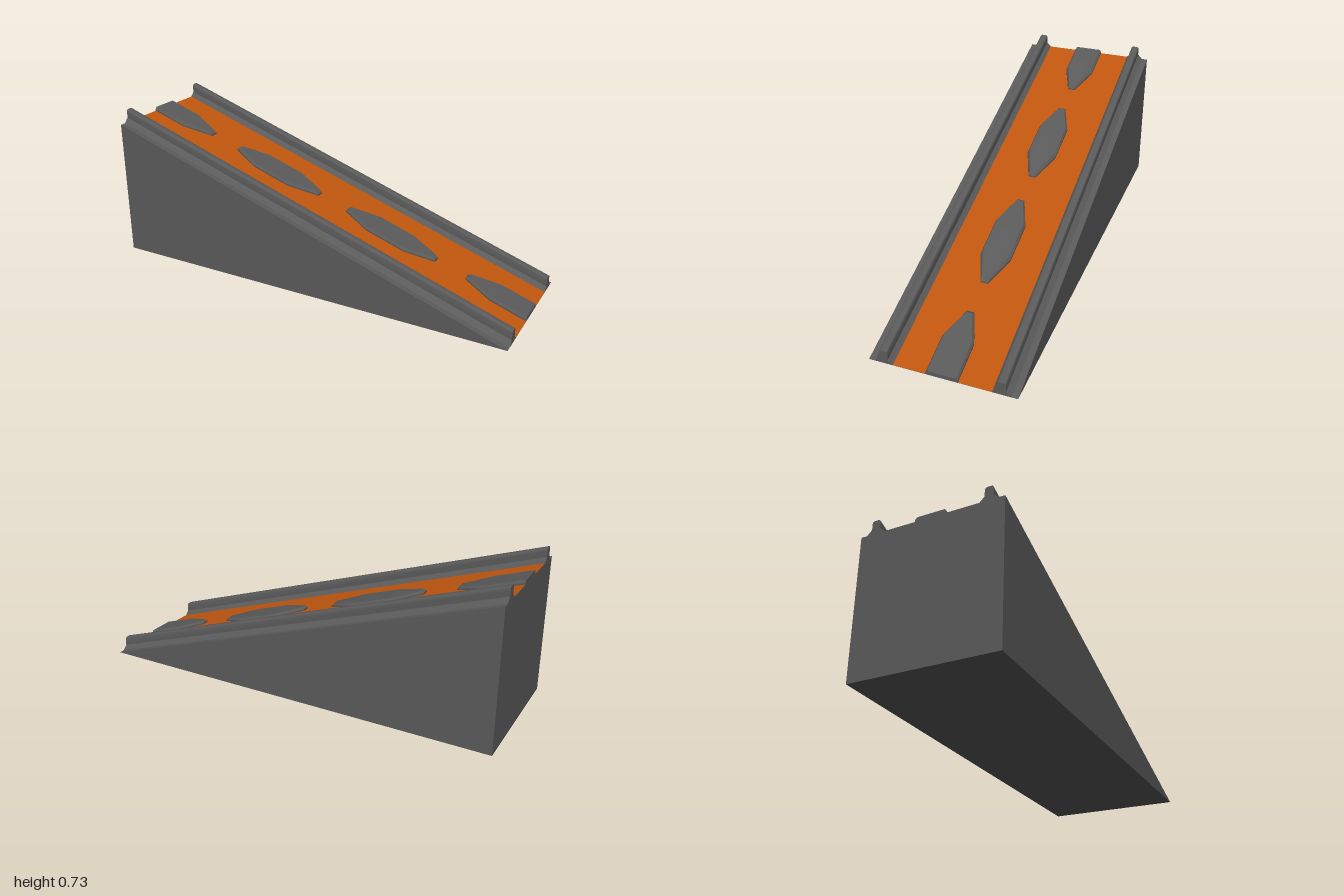
import * as THREE from 'three';
import { toCreasedNormals } from 'three/addons/utils/BufferGeometryUtils.js';

const grey = new THREE.MeshStandardMaterial({ color: 0x5a5a5a });
const orange = new THREE.MeshStandardMaterial({ color: 0xc0560e });

// Lift every vertex onto the slope, keeping the ends vertical
function shear(geo) {
  const p = geo.attributes.position;
  for (let i = 0; i < p.count; i++) p.setY(i, p.getY(i) + (1 - p.getX(i)) / 3);
  return toCreasedNormals(geo, 0.5);
}

function add(group, name, geo, mat) {
  const mesh = new THREE.Mesh(geo, mat);
  mesh.name = name;
  group.add(mesh);
}

// Solid triangular wedge
function wedgeGeometry() {
  const s = new THREE.Shape([[-1, 0], [1, 0], [-1, 2 / 3]].map(([x, y]) => new THREE.Vector2(x, y)));
  return new THREE.ExtrudeGeometry(s, { depth: 0.667, bevelEnabled: false }).translate(0, 0, -0.3335);
}

// Flared, round-topped rail running the full length
function railGeometry(z) {
  const s = new THREE.Shape();
  s.moveTo(-0.0425, 0);
  s.lineTo(0.0425, 0);
  s.lineTo(0.02, 0.023);
  s.lineTo(0.02, 0.05);
  s.quadraticCurveTo(0.02, 0.065, 0.008, 0.065);
  s.lineTo(-0.008, 0.065);
  s.quadraticCurveTo(-0.02, 0.065, -0.02, 0.05);
  s.lineTo(-0.02, 0.023);
  s.closePath();
  const geo = new THREE.ExtrudeGeometry(s, { depth: 2, bevelEnabled: false, curveSegments: 5 });
  return shear(geo.rotateY(Math.PI / 2).translate(-1, 0, z));
}

// Elongated octagonal pad with a bevelled top, cut off at the ramp ends
function padGeometry(cx) {
  const ring = (h, dx, dz) => {
    const a = 0.232 - dx, b = 0.095 - dx * 0.3, w = 0.073 - dz, t = 0.018 - dz * 0.3;
    return [[a, t], [b, w], [-b, w], [-a, t], [-a, -t], [-b, -w], [b, -w], [a, -t]]
      .map(([x, z]) => [THREE.MathUtils.clamp(cx + x, -1, 1), h, z]);
  };
  const rings = [ring(0, 0, 0), ring(0.009, 0, 0), ring(0.02, 0.015, 0.008)];
  const pos = [];
  for (let r = 0; r < 2; r++) {
    for (let i = 0; i < 8; i++) {
      const j = (i + 1) % 8;
      const a = rings[r][i], b = rings[r][j], c = rings[r + 1][j], d = rings[r + 1][i];
      pos.push(...a, ...c, ...b, ...a, ...d, ...c);
    }
  }
  for (let i = 1; i < 7; i++) pos.push(...rings[2][0], ...rings[2][i + 1], ...rings[2][i]);
  const geo = new THREE.BufferGeometry();
  geo.setAttribute('position', new THREE.Float32BufferAttribute(pos, 3));
  geo.computeVertexNormals();
  return shear(geo);
}

export function createModel() {
  const group = new THREE.Group();
  group.name = 'ramp';
  add(group, 'wedgeBody', wedgeGeometry(), grey);

  // Coloured track surface between the rails
  const deck = new THREE.PlaneGeometry(2, 0.445).rotateX(-Math.PI / 2).translate(0, 0.0015, 0);
  add(group, 'trackSurface', shear(deck), orange);

  add(group, 'leftRail', railGeometry(0.263), grey);
  add(group, 'rightRail', railGeometry(-0.263), grey);

  [-0.924, -0.308, 0.308, 0.924].forEach((x, i) => add(group, `trackPad${i + 1}`, padGeometry(x), grey));
  return group;
}
